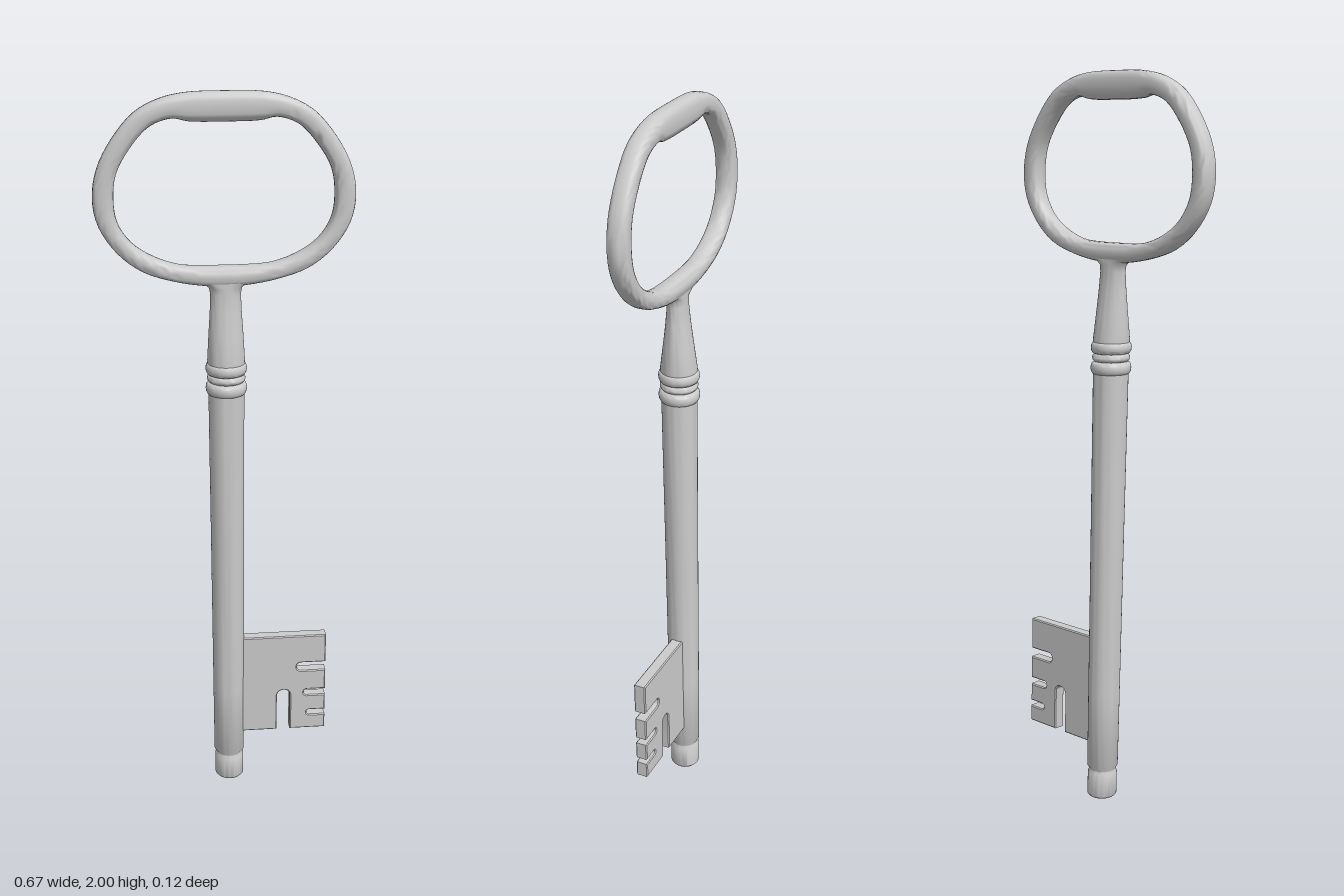
import * as THREE from 'three';
import { mergeVertices, toCreasedNormals } from 'three/addons/utils/BufferGeometryUtils.js';

const material = new THREE.MeshStandardMaterial({ color: 0xcccccc });

// Slight lean of the whole key, then soft normals with creases kept sharp.
function finish(name, geometry, crease = 0.7) {
  const p = geometry.attributes.position;
  for (let i = 0; i < p.count; i++) {
    const y = p.getY(i);
    p.setX(i, p.getX(i) + 0.012 - 0.01 * y);
    p.setZ(i, p.getZ(i) - 0.014 + 0.02 * y);
  }
  geometry.deleteAttribute('uv');
  geometry.deleteAttribute('normal');
  const mesh = new THREE.Mesh(toCreasedNormals(mergeVertices(geometry, 1e-5), crease), material);
  mesh.name = name;
  return mesh;
}

// Lathe around y from [radius, height] pairs.
function turned(profile) {
  return new THREE.LatheGeometry(profile.map(([r, y]) => new THREE.Vector2(r, y)), 32);
}

function makeShaft() {
  return finish('shaft', turned([
    [0, 0], [0.036, 0], [0.041, 0.006], [0.041, 0.07], [0.037, 0.077], [0.037, 0.081],
    [0.043, 0.09], [0.044, 0.3], [0.046, 0.8], [0.048, 1.215], [0, 1.215],
  ]));
}

// Two rounded rings separated by a narrow band.
function makeCollar() {
  const profile = [[0.04, 1.205]];
  for (const [y, h, r] of [[1.222, 0.017, 0.055], [1.25, 0.011, 0.051], [1.277, 0.016, 0.055]]) {
    for (let i = 0; i <= 6; i++) {
      const a = -Math.PI / 2 + (i / 6) * Math.PI;
      profile.push([r - 0.009 + 0.009 * Math.cos(a), y + h * Math.sin(a)]);
    }
  }
  profile.push([0.04, 1.295]);
  return finish('collar', turned(profile), 0.9);
}

// Tapered neck, flattened front to back as it meets the bow.
function makeNeck() {
  const geometry = turned([
    [0.049, 1.28], [0.05, 1.3], [0.046, 1.37], [0.042, 1.43], [0.04, 1.48],
    [0.043, 1.497], [0.056, 1.51], [0.075, 1.52], [0, 1.53],
  ]);
  const p = geometry.attributes.position;
  for (let i = 0; i < p.count; i++) {
    const t = THREE.MathUtils.clamp((p.getY(i) - 1.29) / 0.21, 0, 1);
    const shrink = 1 - 0.42 * t;
    p.setZ(i, THREE.MathUtils.clamp(p.getZ(i) * shrink, -0.05, 0.05));
    if (p.getY(i) > 1.5) p.setZ(i, THREE.MathUtils.clamp(p.getZ(i), -0.024, 0.024));
  }
  return finish('neck', geometry, 0.9);
}

// Oval bow: a rounded section swept between an outer and an inner outline.
function makeBow() {
  // Right half, top to bottom: outer x, y, inner x, y.
  const half = [
    [0, 2.0, 0, 1.925], [0.1, 1.997, 0.09, 1.927], [0.165, 1.982, 0.13, 1.935],
    [0.225, 1.95, 0.185, 1.917], [0.282, 1.885, 0.235, 1.865], [0.322, 1.81, 0.272, 1.80],
    [0.335, 1.735, 0.281, 1.735], [0.322, 1.665, 0.273, 1.675], [0.277, 1.596, 0.24, 1.622],
    [0.215, 1.547, 0.185, 1.584], [0.135, 1.519, 0.12, 1.561], [0.055, 1.505, 0.05, 1.556],
    [0, 1.502, 0, 1.556],
  ];
  const mirrored = half.slice(1, -1).reverse().map(([a, b, c, d]) => [-a, b, -c, d]);
  const stations = [...half, ...mirrored];
  const curve = (k) => new THREE.CatmullRomCurve3(
    stations.map((s) => new THREE.Vector3(s[k], s[k + 1], 0)), true);
  const outer = curve(0), inner = curve(2);
  const steps = 96, sides = 20, positions = [], index = [];
  const soft = (v) => Math.sign(v) * Math.pow(Math.abs(v), 0.7);
  for (let i = 0; i < steps; i++) {
    const o = outer.getPoint(i / steps), n = inner.getPoint(i / steps);
    for (let j = 0; j < sides; j++) {
      const a = (j / sides) * Math.PI * 2;
      const q = n.clone().lerp(o, 0.5 + 0.5 * soft(Math.cos(a)));
      positions.push(q.x, q.y, 0.027 * soft(Math.sin(a)));
      const i2 = (i + 1) % steps, j2 = (j + 1) % sides;
      const A = i * sides + j, B = i2 * sides + j, C = i2 * sides + j2, D = i * sides + j2;
      index.push(A, C, B, A, D, C);
    }
  }
  const geometry = new THREE.BufferGeometry();
  geometry.setAttribute('position', new THREE.Float32BufferAttribute(positions, 3));
  geometry.setIndex(index);
  // Wind the faces outward: the first station's outer face must point up.
  const at = (k) => new THREE.Vector3().fromArray(positions, k * 3);
  const [a, b, c] = index.slice(0, 3).map(at);
  if (b.sub(a).cross(c.sub(a)).y < 0) geometry.setIndex(index.reverse());
  return finish('bow', geometry, 1.2);
}

// Flat bit with a tall slot from below and three ward cuts in its edge.
function makeBit() {
  const left = 0.015, right = 0.28, bottom = 0.15, top = 0.46;
  const s = new THREE.Shape();
  s.moveTo(left, bottom);
  s.lineTo(0.139, bottom);
  s.lineTo(0.139, 0.262);
  s.quadraticCurveTo(0.141, 0.282, 0.159, 0.282);
  s.quadraticCurveTo(0.177, 0.282, 0.177, 0.262);
  s.lineTo(0.177, bottom);
  s.lineTo(right, bottom);
  for (const [y0, y1, x] of [[0.195, 0.211, 0.226], [0.262, 0.281, 0.217], [0.345, 0.371, 0.196]]) {
    const r = (y1 - y0) / 2;
    s.lineTo(right, y0);
    s.lineTo(x + r, y0);
    s.absarc(x + r, y0 + r, r, -Math.PI / 2, Math.PI / 2, true);
    s.lineTo(right, y1);
  }
  s.lineTo(right, top);
  s.lineTo(left, top);
  const bevel = 0.003, depth = 0.028;
  const geometry = new THREE.ExtrudeGeometry(s, {
    depth, bevelEnabled: true, bevelSize: bevel, bevelThickness: bevel,
    bevelOffset: -bevel, bevelSegments: 1, curveSegments: 8,
  });
  geometry.translate(0, 0, -depth / 2);
  return finish('bit', geometry, 0.5);
}

export function createModel() {
  const key = new THREE.Group();
  key.name = 'key';
  key.add(makeShaft(), makeCollar(), makeNeck(), makeBow(), makeBit());
  return key;
}
